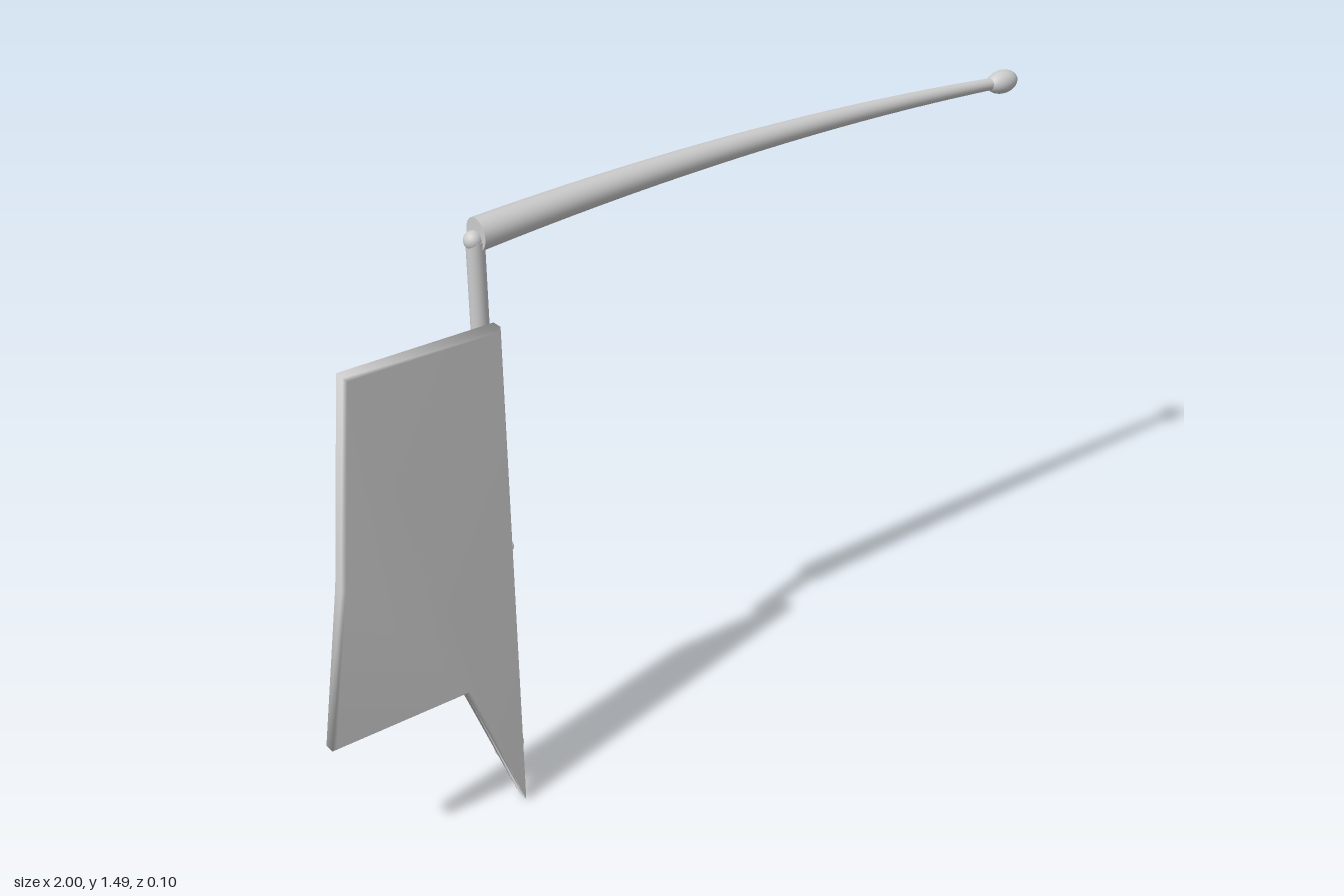
import * as THREE from 'three';
import { mergeVertices } from 'three/addons/utils/BufferGeometryUtils.js';

export function createModel() {
  const model = new THREE.Group();
  model.name = 'rudder';
  const grey = new THREE.MeshStandardMaterial({ color: 0xcccccc });
  grey.name = 'plain grey';

  const add = (name, geometry, x = 0, y = 0, z = 0, parent = model) => {
    const mesh = new THREE.Mesh(geometry, grey);
    mesh.name = name;
    mesh.position.set(x, y, z);
    parent.add(mesh);
    return mesh;
  };

  // Blade: swept outline with a thin softened rim and smooth normals
  const outline = [[-0.89, 1.245], [-0.94, 0.76], [-1, 0.372], [-0.662, 0.372], [-0.523, 0], [-0.523, 1.245]];
  const bevel = 0.007;
  const extruded = new THREE.ExtrudeGeometry(
    new THREE.Shape(outline.map(([x, y]) => new THREE.Vector2(x, y))),
    { depth: 0.04 - 2 * bevel, bevelThickness: bevel, bevelSize: bevel, bevelOffset: -bevel, bevelSegments: 1 });
  extruded.deleteAttribute('normal');
  extruded.deleteAttribute('uv');
  const bladeGeometry = mergeVertices(extruded, 1e-4);
  bladeGeometry.computeVertexNormals();
  add('blade', bladeGeometry, 0, 0, 0.01 + bevel);

  // Upright post with a rounded head
  add('post', new THREE.CylinderGeometry(0.02, 0.02, 0.26, 20), -0.54, 1.295, -0.01);
  add('postHead', new THREE.SphereGeometry(0.021, 20, 12), -0.543, 1.425, -0.012);

  // Tiller: tapered bar bent into a shallow arch
  const length = 1.48, startX = -0.535;
  const bar = new THREE.CylinderGeometry(0.014, 0.036, length, 24, 20);
  bar.rotateZ(-Math.PI / 2);
  const p = bar.attributes.position;
  for (let i = 0; i < p.count; i++) {
    const t = p.getX(i) / length + 0.5;
    p.setY(i, p.getY(i) + 0.12 * t * (1 - t) - 0.004 * t);
  }
  add('tiller', bar, startX + length / 2, 1.435, -0.014);

  // Egg-shaped grip at the tip
  const knob = new THREE.SphereGeometry(1, 24, 16);
  knob.scale(0.045, 0.028, 0.028);
  add('tillerKnob', knob, 0.955, 1.432, -0.012);

  // Two hinge plates, each with a cross pin
  for (const y of [0.13, 0.675]) {
    const hinge = new THREE.Group();
    hinge.name = 'hinge';
    hinge.position.set(-0.513, y, -0.0075);
    model.add(hinge);
    add('hingePlate', new THREE.BoxGeometry(0.022, 0.14, 0.035), 0, 0, 0, hinge);
    const pin = add('hingePin', new THREE.CylinderGeometry(0.01, 0.01, 0.07, 16), -0.016, 0, 0, hinge);
    pin.rotation.z = Math.PI / 2;
    add('pinHead', new THREE.SphereGeometry(0.01, 16, 10), 0.014, 0, 0, hinge);
  }

  return model;
}
